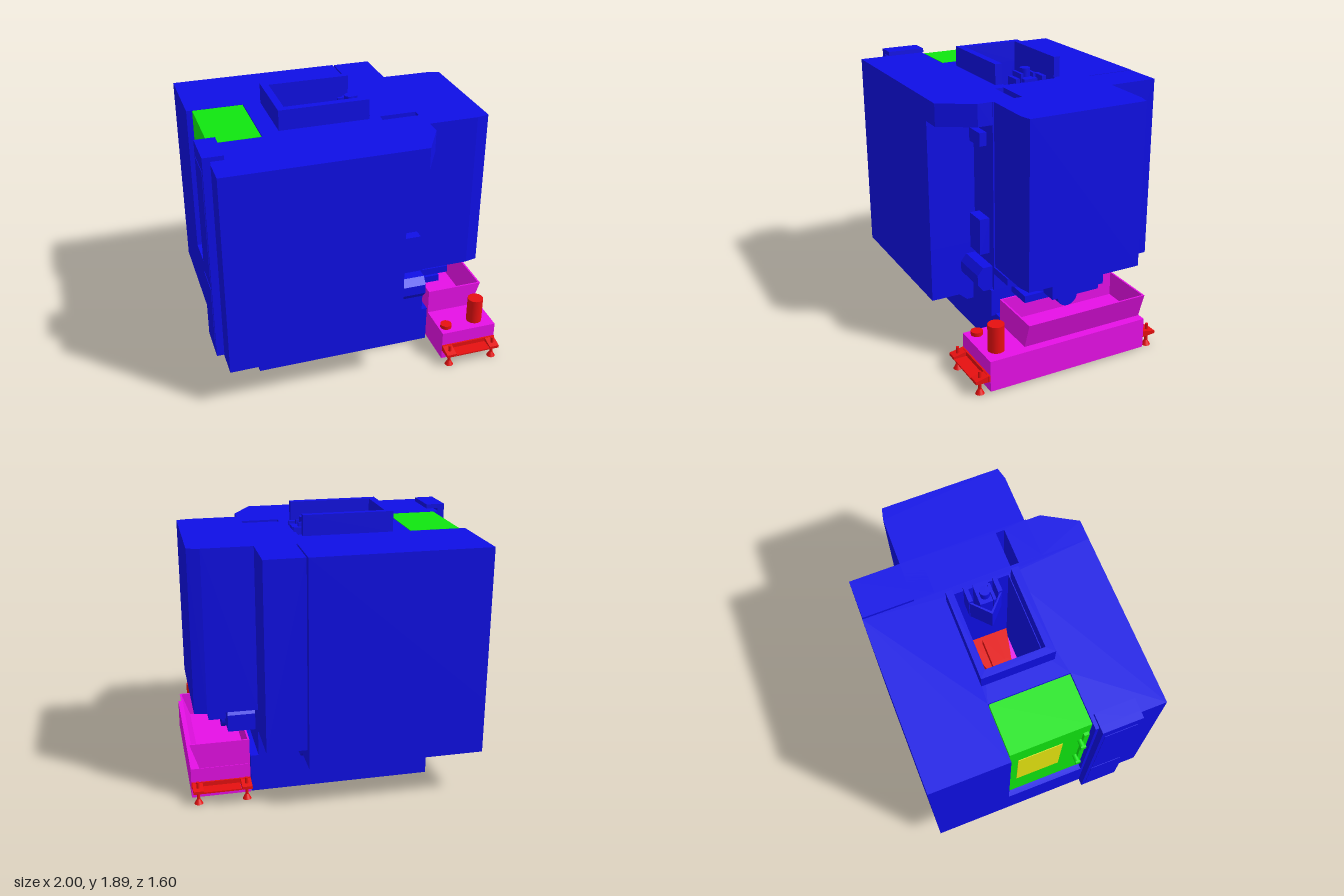
import * as THREE from 'three';

const mat = (color) => new THREE.MeshStandardMaterial({ color, side: THREE.DoubleSide });
const BLUE = mat(0x0f0fe6), RED = mat(0xe61010), PINK = mat(0xe610e6), GREEN = mat(0x10e610), YELLOW = mat(0xe6e610);

export function createModel() {
  const root = new THREE.Group();
  let group = root;
  const section = (name) => {
    group = new THREE.Group();
    group.name = name;
    root.add(group);
  };
  const add = (name, geo, m) => {
    const mesh = new THREE.Mesh(geo, m);
    mesh.name = name;
    group.add(mesh);
    return mesh;
  };
  // Box given by its limits on each axis
  const box = (name, m, x0, x1, y0, y1, z0, z1) =>
    add(name, new THREE.BoxGeometry(x1 - x0, y1 - y0, z1 - z0), m)
      .position.set((x0 + x1) / 2, (y0 + y1) / 2, (z0 + z1) / 2);
  const shapeOf = (pts) => new THREE.Shape(pts.map(([a, b]) => new THREE.Vector2(a, b)));
  const extrude = (shape, depth) => new THREE.ExtrudeGeometry(shape, { depth, bevelEnabled: false, curveSegments: 12 });
  const rect = (x0, x1, z0, z1) => [[x0, z0], [x1, z0], [x1, z1], [x0, z1]];
  // Plan outline [x, z] raised from y0 to y1
  const slab = (name, m, pts, y0, y1, holes = []) => {
    const flip = (list) => list.map(([x, z]) => [x, -z]);
    const s = shapeOf(flip(pts));
    holes.forEach((h) => s.holes.push(shapeOf(flip(h))));
    add(name, extrude(s, y1 - y0).rotateX(-Math.PI / 2).translate(0, y0, 0), m);
  };
  // Side profile [z, y] run from x0 to x1
  const prismX = (name, m, pts, x0, x1) =>
    add(name, extrude(shapeOf(pts.map(([z, y]) => [-z, y])), x1 - x0).rotateY(Math.PI / 2).translate(x0, 0, 0), m);
  // Front profile [x, y] run from z0 to z1
  const prismZ = (name, m, pts, z0, z1) =>
    add(name, extrude(shapeOf(pts), z1 - z0).translate(0, 0, z0), m);
  const rod = (name, m, x, z, r0, r1, y0, y1) =>
    add(name, new THREE.CylinderGeometry(r1, r0, y1 - y0, 24), m).position.set(x, (y0 + y1) / 2, z);

  // Plinth and sloping pan under the enclosure
  section('base');
  box('plinth', BLUE, -0.68, 0.585, 0, 0.27, -0.43, 0.42);
  prismX('basePan', BLUE, [[-0.5, 0.27], [0.5, 0.27], [0.57, 0.33], [-0.57, 0.33]], -0.68, 0.25);
  prismX('sidePan', BLUE, [[-0.43, 0.26], [0.45, 0.26], [0.45, 0.45], [-0.43, 0.45]], 0.25, 0.53);

  // Main enclosure: open skirt below, solid body with a shaft and a cabinet notch above
  section('enclosure');
  slab('skirt', BLUE, rect(-0.95, 0.25, -0.8, 0.76), 0.32, 0.7, [rect(-0.91, 0.21, -0.76, 0.72)]);
  const shaft = rect(-0.39, 0.2, -0.215, 0.175);
  slab('mainBody', BLUE, [
    [-0.95, -0.8], [0.25, -0.8], [0.25, 0.76], [-0.95, 0.76],
    [-0.95, 0.285], [-0.56, 0.285], [-0.56, -0.265], [-0.95, -0.265],
  ], 0.7, 1.75, [shaft]);
  slab('neck', BLUE, rect(0.25, 0.53, -0.45, 0.43), 0.45, 1.75, [rect(0.255, 0.51, 0.21, 0.27)]);
  box('rearColumn', BLUE, 0.26, 0.53, 0.46, 1.75, -0.795, -0.31);
  slab('frontHood', BLUE, [[0.25, 0.43], [0.25, 0.76], [0.39, 0.76], [0.525, 0.53], [0.525, 0.43]], 1.6, 1.75);
  box('controlBoxUpper', BLUE, 0.29, 0.44, 1.44, 1.53, 0.43, 0.48);
  box('controlBoxLower', BLUE, 0.32, 0.47, 0.7, 0.95, 0.43, 0.5);
  prismX('recessGuard', BLUE, [[0.42, 0.45], [0.5, 0.45], [0.54, 0.5], [0.54, 0.57], [0.5, 0.62], [0.42, 0.62]], 0.25, 0.51);

  // Collar on the roof, open towards the side cabinet
  slab('roofCollar', BLUE, [
    [0.175, -0.26], [-0.44, -0.26], [-0.44, 0.23], [0.175, 0.23],
    [0.175, 0.18], [-0.39, 0.18], [-0.39, -0.215], [0.175, -0.215],
  ], 1.75, 1.89);

  // Machine inside the shaft
  section('interior');
  box('bed', PINK, -0.36, 0.21, 0.55, 0.72, -0.22, 0.18);
  slab('column', RED, [[-0.36, -0.08], [-0.2, -0.09], [0.1, -0.18], [0.1, 0.13], [-0.2, 0.06], [-0.36, 0.06]], 0.72, 1.1);
  box('slide', RED, -0.33, -0.16, 1.1, 1.25, -0.08, 0.04);
  box('table', RED, -0.16, 0.05, 1.1, 1.18, -0.07, 0.03);
  box('endPlate', RED, -0.385, -0.35, 0.72, 0.85, -0.2, 0.16);
  for (const s of [-1, 1]) {
    slab('spindleBracketArm', BLUE, [[-0.02, -0.02], [0.1, -0.02 + s * 0.11], [0.115, -0.02 + s * 0.11], [0, -0.02]], 1.55, 1.76);
    box('spindleBracketSide', BLUE, 0.1, 0.21, 1.55, 1.78, -0.02 + s * 0.1 - 0.015, -0.02 + s * 0.1 + 0.015);
    box('spindleCheek', BLUE, 0.05, 0.17, 1.6, 1.8, -0.02 + s * 0.045 - 0.01, -0.02 + s * 0.045 + 0.01);
  }
  box('spindleHead', BLUE, 0.06, 0.21, 1.5, 1.77, -0.07, 0.03);
  rod('spindleCap', BLUE, 0.12, -0.02, 0.035, 0.035, 1.77, 1.83);

  // Tool magazine cabinet on the side, with the chute below it
  section('sideCabinet');
  slab('cabinet', BLUE, [[0.53, -0.45], [0.87, -0.445], [0.955, -0.425], [0.955, 0.4], [0.87, 0.42], [0.53, 0.42]], 0.62, 1.75);
  prismX('chuteSkirt', BLUE, [[0.43, 0.62], [0.43, 0.57], [0.16, 0.46], [-0.31, 0.46], [-0.31, 0.53], [-0.25, 0.62]], 0.51, 0.72);
  box('chute', BLUE, 0.53, 0.84, 0.455, 0.62, -0.19, 0.16);
  box('chuteLip', BLUE, 0.25, 0.72, 0.41, 0.46, -0.31, 0.3);
  add('chutePipe', new THREE.CylinderGeometry(0.075, 0.075, 0.24, 24).rotateZ(Math.PI / 2), BLUE).position.set(0.62, 0.4, -0.015);

  // Electrical cabinet in the notch
  section('electricalCabinet');
  box('cabinetBody', GREEN, -0.91, -0.565, 0.7, 1.75, -0.26, 0.28);
  box('window', YELLOW, -0.914, -0.909, 1.04, 1.54, -0.2, 0.1);
  box('doorStrip', GREEN, -0.93, -0.91, 0.92, 1.6, 0.235, 0.27);
  for (const y of [1.05, 1.45]) {
    add('latch', new THREE.CylinderGeometry(0.018, 0.018, 0.05, 16).rotateZ(Math.PI / 2), GREEN).position.set(-0.935, y, 0.225);
    add('latchKnob', new THREE.BoxGeometry(0.012, 0.05, 0.035), GREEN).position.set(-0.965, y, 0.225);
  }

  // Cable duct beside the electrical cabinet
  section('cableDuct');
  box('ductPanel', BLUE, -1, -0.95, 0.33, 1.8, 0.305, 0.575);
  box('ductTop', BLUE, -1, -0.865, 1.77, 1.8, 0.305, 0.575);
  box('ductDoorUpper', BLUE, -1.003, -1, 0.9, 1.7, 0.33, 0.55);
  box('ductDoorLower', BLUE, -1.003, -1, 0.38, 0.85, 0.33, 0.55);

  // Coolant tank with open hopper and pumps
  section('coolantTank');
  box('tank', PINK, 0.595, 1, 0.015, 0.23, -0.465, 0.695);
  prismZ('hopper', PINK, [
    [0.595, 0.23], [0.94, 0.23], [1, 0.41], [0.988, 0.41],
    [0.93, 0.24], [0.607, 0.24], [0.607, 0.41], [0.595, 0.41],
  ], -0.46, 0.42);
  for (const z of [-0.46, 0.408])
    prismZ('hopperEnd', PINK, [[0.595, 0.23], [0.94, 0.23], [1, 0.41], [0.595, 0.41]], z, z + 0.012);
  rod('pump', RED, 0.88, 0.595, 0.055, 0.055, 0.23, 0.415);
  rod('fillerCap', RED, 0.65, 0.62, 0.04, 0.04, 0.23, 0.257);

  // Levelling feet on brackets at both ends of the tank
  section('feet');
  for (const [z, s] of [[0.695, 1], [-0.465, -1]]) {
    box('bracketPlate', RED, 0.6, 1, 0.09, 0.13, Math.min(z, z + s * 0.012), Math.max(z, z + s * 0.012));
    box('bracketShelf', RED, 0.67, 0.93, 0.09, 0.1, Math.min(z, z + s * 0.1), Math.max(z, z + s * 0.1));
    for (const x of [0.63, 0.96]) {
      prismX('bracketEar', RED, [[z, 0.085], [z, 0.13], [z + s * 0.1, 0.11], [z + s * 0.1, 0.09]], x - 0.035, x + 0.035);
      rod('stud', RED, x, z + s * 0.057, 0.011, 0.011, 0.02, 0.16);
      rod('pad', RED, x, z + s * 0.057, 0.03, 0.012, 0, 0.035);
    }
  }
  return root;
}
